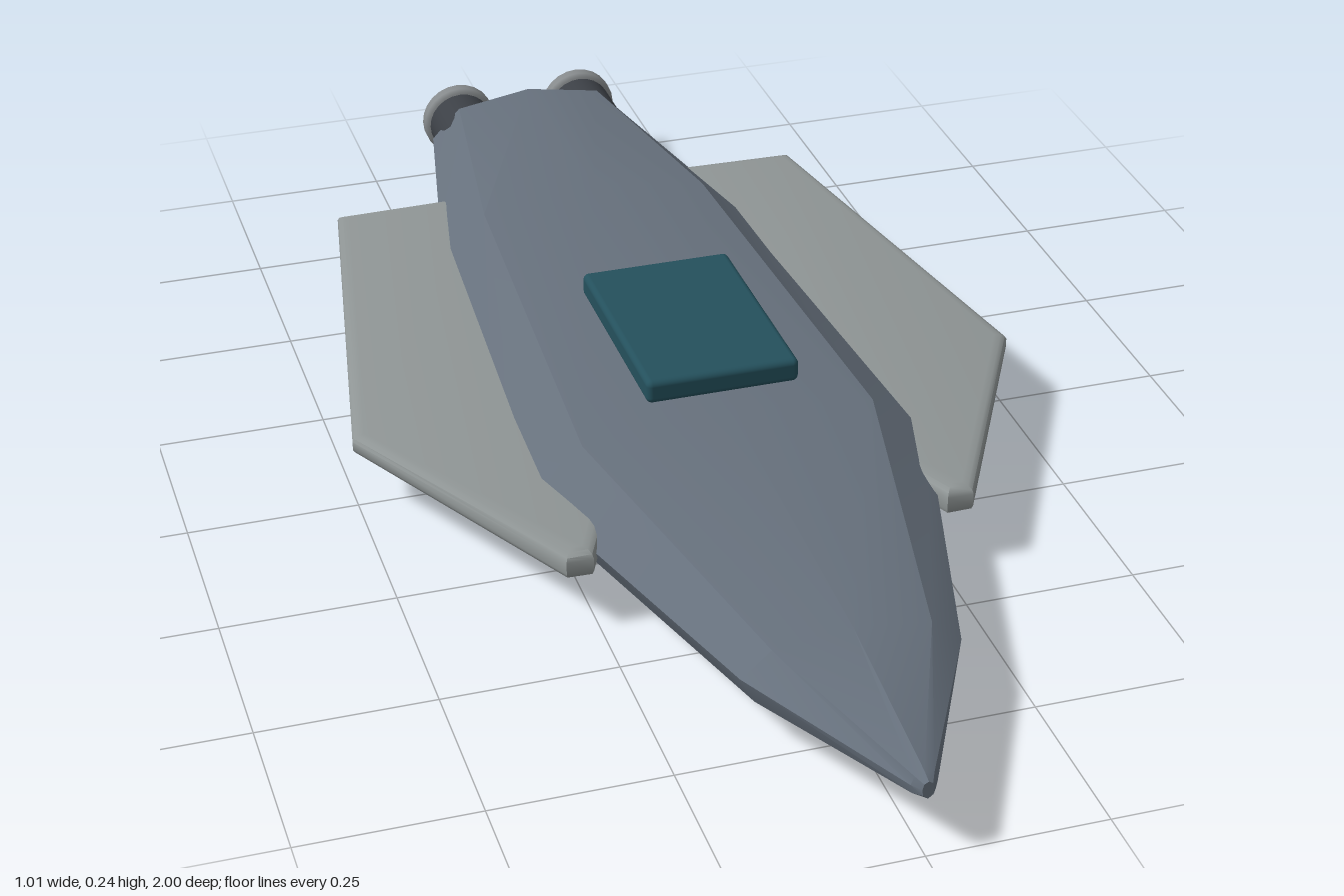
import * as THREE from 'three';
import { toCreasedNormals } from 'three/addons/utils/BufferGeometryUtils.js';
import { RoundedBoxGeometry } from 'three/addons/geometries/RoundedBoxGeometry.js';

const material = (color) => new THREE.MeshStandardMaterial({ color });
const HULL = material(0x66707c);
const WING = material(0x8f9595);
const GLASS = material(0x24505c);
const DARK = material(0x3c4046);
const METAL = material(0x85898b);
const GLOW = material(0x1f627a);

function addMesh(parent, name, geometry, mat) {
  const mesh = new THREE.Mesh(geometry, mat);
  mesh.name = name;
  parent.add(mesh);
  return mesh;
}

// Hull lofted through eight-sided cross-sections
function hullGeometry() {
  // z, half width, bottom y, top y
  const stations = [
    [1, 0.008, 0.092, 0.118], [0.985, 0.018, 0.085, 0.123],
    [0.72, 0.152, 0.048, 0.163], [0.2, 0.3, 0.009, 0.192],
    [-0.5, 0.25, 0.002, 0.204], [-0.91, 0.167, 0.03, 0.183],
  ];
  // Unit section, clockwise from the top ridge
  const section = [
    [0, 1], [0.72, 0.74], [1, 0.1], [0.87, -0.58],
    [0, -1], [-0.87, -0.58], [-1, 0.1], [-0.72, 0.74],
  ];
  const n = section.length;
  const positions = [];
  const index = [];
  for (const [z, w, low, high] of stations) {
    for (const [u, v] of section) {
      positions.push(u * w, (low + high) / 2 + v * (high - low) / 2, z);
    }
  }
  for (let s = 0; s < stations.length - 1; s++) {
    for (let i = 0; i < n; i++) {
      const a = s * n + i, b = s * n + (i + 1) % n;
      index.push(a, b, b + n, a, b + n, a + n);
    }
  }
  // Nose and tail caps
  const tail = (stations.length - 1) * n;
  for (let i = 1; i < n - 1; i++) {
    index.push(0, i + 1, i, tail, tail + i, tail + i + 1);
  }
  const geometry = new THREE.BufferGeometry();
  geometry.setAttribute('position', new THREE.Float32BufferAttribute(positions, 3));
  geometry.setIndex(index);
  return toCreasedNormals(geometry, 0.45);
}

// Bevelled wing plate that thins towards the tip
function wingGeometry(side) {
  const bevel = 0.018;
  const outline = [[0.14, -0.652], [0.367, -0.652], [0.485, 0], [0.284, 0.382], [0.268, 0.382], [0.14, 0.1]];
  const shape = new THREE.Shape(outline.map(([x, z]) => new THREE.Vector2(side * x, -z)));
  const geometry = new THREE.ExtrudeGeometry(shape, {
    depth: 0.018, bevelEnabled: true, bevelSize: bevel, bevelThickness: 0.012, bevelSegments: 3,
  });
  geometry.translate(0, 0, -0.009);
  geometry.rotateX(-Math.PI / 2);
  const p = geometry.attributes.position;
  for (let i = 0; i < p.count; i++) {
    const t = THREE.MathUtils.clamp((Math.abs(p.getX(i)) - 0.25) / 0.25, 0, 1);
    p.setY(i, 0.105 + p.getY(i) * (1.08 - 0.35 * t));
  }
  return toCreasedNormals(geometry, 0.6);
}

// Engine with housing, rounded nozzle ring and exhaust disc
function createEngine(name, x) {
  const engine = new THREE.Group();
  engine.name = name;
  engine.position.set(x, 0.108, 0);

  const housing = addMesh(engine, 'engineHousing', new THREE.CylinderGeometry(0.053, 0.053, 0.1, 24), DARK);
  housing.rotation.x = Math.PI / 2;
  housing.position.z = -0.93;

  const profile = [
    [0.04, 0.014], [0.056, 0.014], [0.061, 0.008], [0.061, -0.008],
    [0.056, -0.014], [0.04, -0.014], [0.04, 0.014],
  ].map(([r, y]) => new THREE.Vector2(r, -y));
  const ringShape = toCreasedNormals(new THREE.LatheGeometry(profile.reverse(), 24), 0.9);
  const ring = addMesh(engine, 'nozzleRing', ringShape, METAL);
  ring.material.side = THREE.DoubleSide;
  ring.rotation.x = Math.PI / 2;
  ring.position.z = -0.981;

  const core = addMesh(engine, 'exhaustDisc', new THREE.CylinderGeometry(0.041, 0.041, 0.03, 24), GLOW);
  core.rotation.x = Math.PI / 2;
  core.position.z = -0.985;
  return engine;
}

export function createModel() {
  const model = new THREE.Group();
  model.name = 'spacecraft';

  addMesh(model, 'hull', hullGeometry(), HULL);

  const canopy = addMesh(model, 'canopy', new RoundedBoxGeometry(0.226, 0.036, 0.34, 3, 0.009), GLASS);
  canopy.position.set(0, 0.22, 0.005);

  for (const [label, side] of [['left', 1], ['right', -1]]) {
    addMesh(model, label + 'Wing', wingGeometry(side), WING);
    model.add(createEngine(label + 'Engine', side * 0.105));
  }
  return model;
}
